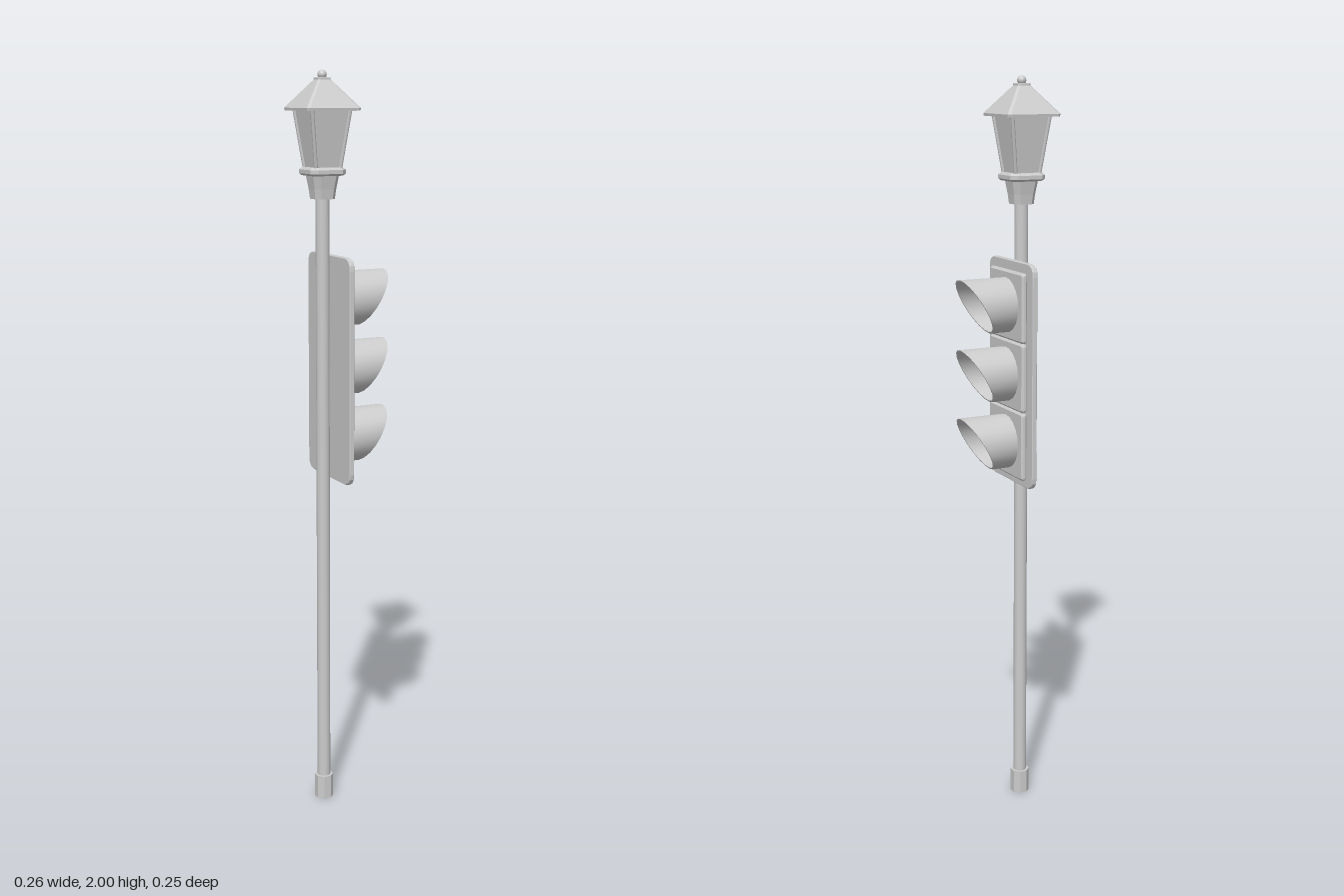
import * as THREE from 'three';
import { toCreasedNormals } from 'three/addons/utils/BufferGeometryUtils.js';

const POLE_X = -0.055;
const grey = new THREE.MeshStandardMaterial({ color: 0xcccccc });
const greyDouble = new THREE.MeshStandardMaterial({ color: 0xcccccc, side: THREE.DoubleSide });

function add(parent, name, geometry, material = grey, x = 0, y = 0, z = 0) {
  const mesh = new THREE.Mesh(geometry, material);
  mesh.name = name;
  mesh.position.set(x, y, z);
  parent.add(mesh);
  return mesh;
}

// Square tower with chamfered corners, lofted through [half width, y, chamfer] rings
function squareLoft(rings) {
  const loops = rings.map(([h, y, c]) => [
    [h, h - c], [h - c, h], [c - h, h], [-h, h - c], [-h, c - h], [c - h, -h], [h - c, -h], [h, c - h],
  ].map(([x, z]) => [x, y, z]));
  const pos = [];
  for (let r = 0; r < loops.length - 1; r++) {
    for (let i = 0; i < 8; i++) {
      const j = (i + 1) % 8;
      const [a, b, c, d] = [loops[r][i], loops[r][j], loops[r + 1][j], loops[r + 1][i]];
      pos.push(...a, ...d, ...c, ...a, ...c, ...b);
    }
  }
  const geo = new THREE.BufferGeometry();
  geo.setAttribute('position', new THREE.Float32BufferAttribute(pos, 3));
  geo.computeVertexNormals();
  return geo;
}

// Rounded slab in the z-y plane, facing +x, from x = 0 to depth
function slab(width, height, radius, depth, bevel) {
  const w = width / 2 - bevel, h = height / 2 - bevel, r = radius;
  const s = new THREE.Shape();
  s.moveTo(-w + r, -h);
  s.lineTo(w - r, -h); s.quadraticCurveTo(w, -h, w, -h + r);
  s.lineTo(w, h - r); s.quadraticCurveTo(w, h, w - r, h);
  s.lineTo(-w + r, h); s.quadraticCurveTo(-w, h, -w, h - r);
  s.lineTo(-w, -h + r); s.quadraticCurveTo(-w, -h, -w + r, -h);
  const geo = new THREE.ExtrudeGeometry(s, {
    depth: depth - 2 * bevel, bevelEnabled: bevel > 0, bevelSize: bevel,
    bevelThickness: bevel, bevelSegments: 1, curveSegments: 4,
  });
  return geo.translate(0, 0, bevel).rotateY(Math.PI / 2);
}

// Thick tube along +x whose open end is cut on a slope, longest at the top
function visorGeometry(outer, inner) {
  const profile = [[inner, 0], [outer, 0], [outer, 1], [inner, 1], [inner, 0]]
    .map(([r, y]) => new THREE.Vector2(r, y));
  const geo = new THREE.LatheGeometry(profile, 20).rotateZ(-Math.PI / 2);
  const p = geo.attributes.position;
  for (let i = 0; i < p.count; i++) {
    if (p.getX(i) > 0.5) p.setX(i, 0.093 + p.getY(i) * 0.58);
  }
  return toCreasedNormals(geo, 0.6);
}

function createLantern() {
  const lantern = new THREE.Group();
  lantern.name = 'lantern';
  lantern.position.x = POLE_X;

  // Cup and collar under the glass
  add(lantern, 'lanternCup', squareLoft([
    [0, 1.675, 0], [0.028, 1.675, 0.012], [0.031, 1.7, 0.013], [0.037, 1.737, 0.014], [0, 1.737, 0],
  ]));
  add(lantern, 'lanternCollar', squareLoft([
    [0, 1.735, 0], [0.045, 1.735, 0.014], [0.05, 1.74, 0.015], [0.05, 1.75, 0.015],
    [0.044, 1.756, 0.014], [0, 1.756, 0],
  ]));

  // Tapered panes with a post on each corner
  add(lantern, 'lanternPanes', squareLoft([
    [0, 1.75, 0], [0.034, 1.75, 0.003], [0.055, 1.91, 0.003], [0, 1.91, 0],
  ]));
  for (const sx of [-1, 1]) {
    for (const sz of [-1, 1]) {
      const a = new THREE.Vector3(sx * 0.034, 1.75, sz * 0.034);
      const b = new THREE.Vector3(sx * 0.055, 1.91, sz * 0.055);
      add(lantern, 'cornerPost', new THREE.TubeGeometry(new THREE.LineCurve3(a, b), 1, 0.005, 6));
    }
  }

  // Hollow hipped roof, its cap and the finial
  add(lantern, 'lanternRoof', squareLoft([
    [0.012, 1.968, 0.003], [0.07, 1.898, 0.007], [0.075, 1.898, 0.007], [0.076, 1.905, 0.007],
    [0.018, 1.975, 0.005], [0.018, 1.98, 0.005], [0, 1.982, 0],
  ]), greyDouble);
  add(lantern, 'finial', new THREE.SphereGeometry(0.012, 12, 8), grey, 0, 1.988, 0);
  return lantern;
}

function createSignal() {
  const signal = new THREE.Group();
  signal.name = 'trafficSignal';
  add(signal, 'backPlate', slab(0.252, 0.6, 0.03, 0.014, 0.002), grey, -0.038, 1.23, 0);

  const visor = visorGeometry(0.073, 0.069);
  // Shallow dome facing +x
  const lens = new THREE.SphereGeometry(0.07, 24, 6, 0, Math.PI * 2, 0, Math.PI / 2)
    .scale(1, 0.12, 1).rotateZ(-Math.PI / 2);

  const lights = [['red', 0xd01024, 1.413], ['amber', 0xd9a010, 1.228], ['green', 0x12a012, 1.043]];
  for (const [name, color, y] of lights) {
    const unit = new THREE.Group();
    unit.name = name + 'Light';
    unit.position.y = y;
    add(unit, 'lightHousing', slab(0.192, 0.184, 0.004, 0.016, 0.005), grey, -0.025, 0, 0);
    add(unit, 'visor', visor, grey, -0.011, 0, 0);
    add(unit, 'lens', lens, new THREE.MeshStandardMaterial({ color }), -0.008, 0, 0);
    signal.add(unit);
  }
  return signal;
}

export function createModel() {
  const model = new THREE.Group();
  model.name = 'trafficLightPost';

  // Pole and its faceted foot
  add(model, 'pole', new THREE.CylinderGeometry(0.018, 0.018, 1.67, 16), grey, POLE_X, 0.845, 0);
  const foot = new THREE.CylinderGeometry(0.026, 0.026, 0.066, 8).rotateY(Math.PI / 8);
  add(model, 'poleFoot', toCreasedNormals(foot, 0.3), grey, POLE_X, 0.033, 0);

  model.add(createSignal(), createLantern());
  return model;
}
